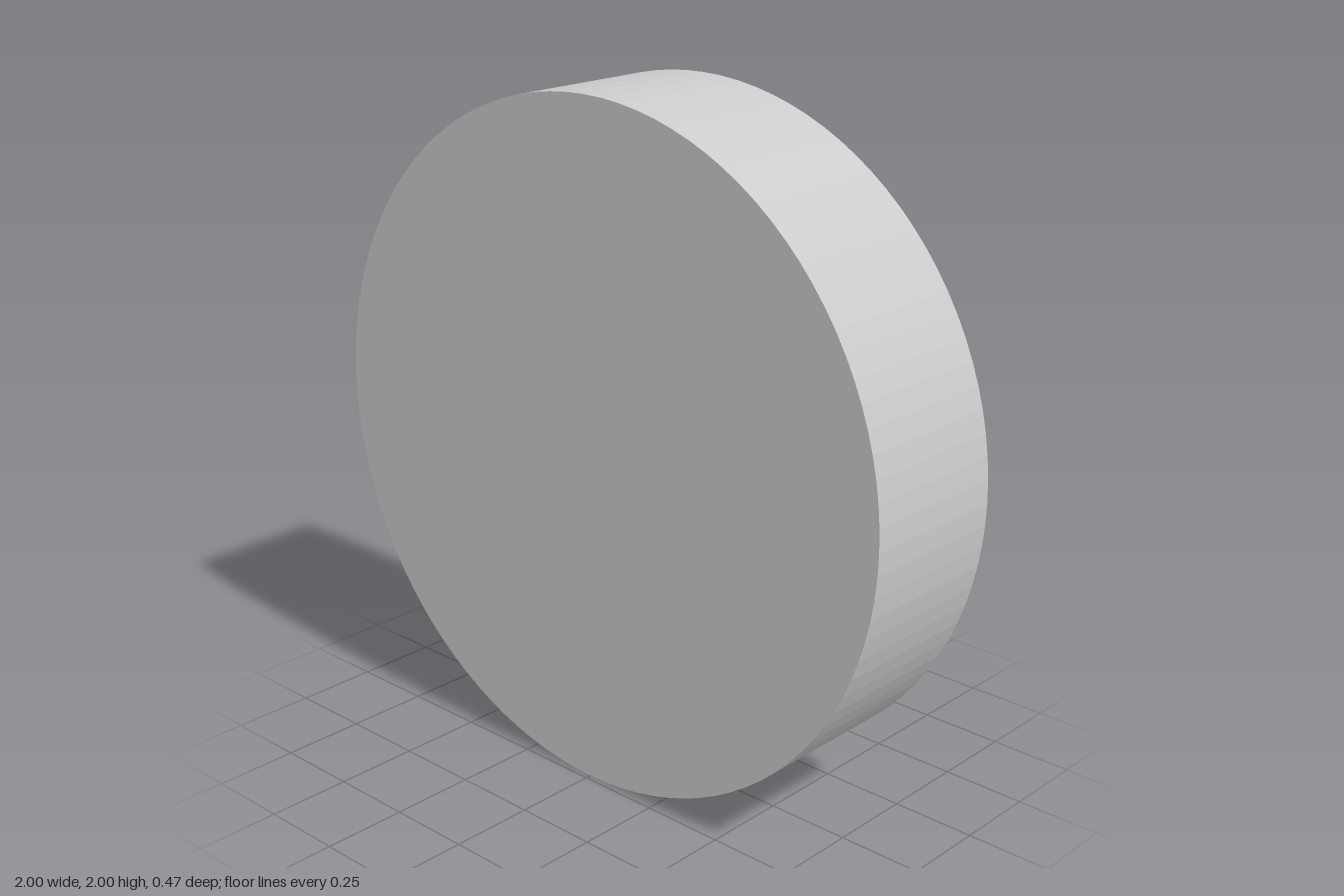
import * as THREE from 'three';

export function createModel() {
  const group = new THREE.Group();
  group.name = 'roundCap';

  const radius = 1, innerRadius = 0.86, halfDepth = 0.233, floorZ = 0.1;

  // Closed profile: recess floor, recess wall, back rim, outer wall, front face
  const profile = [
    [0, floorZ],
    [innerRadius, floorZ],
    [innerRadius, -halfDepth],
    [radius, -halfDepth],
    [radius, halfDepth],
    [0, halfDepth],
  ].map(([r, z]) => new THREE.Vector2(r, z));

  // Shallow cap, closed at the front and hollow at the back
  const geometry = new THREE.LatheGeometry(profile, 100);
  geometry.rotateX(Math.PI / 2);
  const cap = new THREE.Mesh(
    geometry,
    new THREE.MeshStandardMaterial({ color: 0xcccccc, flatShading: true })
  );
  cap.name = 'cap';
  cap.position.y = radius;
  group.add(cap);

  return group;
}
